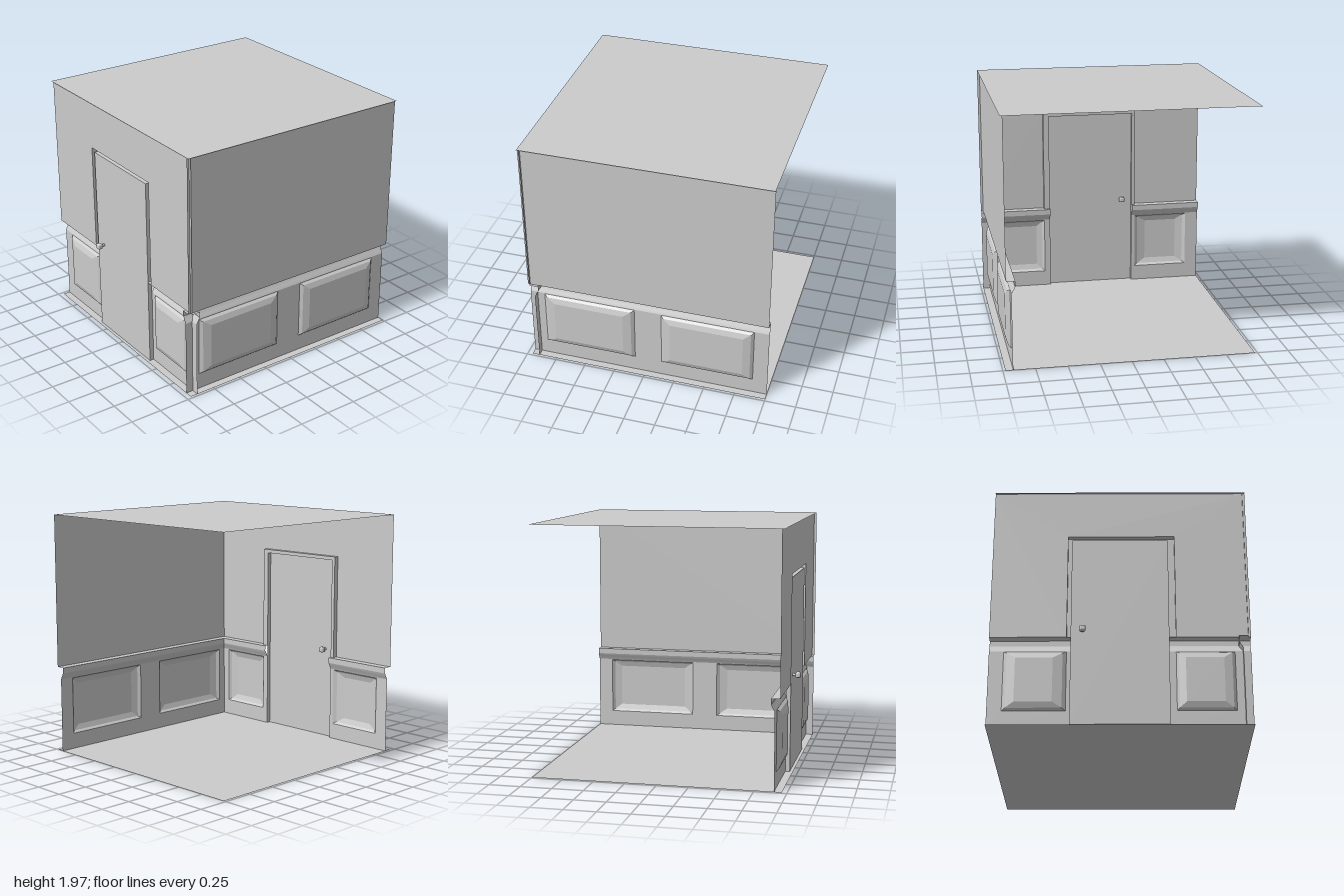
import * as THREE from 'three';
import { RoundedBoxGeometry } from 'three/addons/geometries/RoundedBoxGeometry.js';

const HALF = 0.98, HEIGHT = 1.965, RAIL_Y = 0.71;
// Depths of the sheet surfaces, measured outward from the room centre
const WALL = 0.96, DOOR = 0.955, FRAME = 0.92, RAIL = 0.89;
const DOOR_X = 0.37, DOOR_TOP = 1.545;

const flat = new THREE.MeshStandardMaterial({ color: 0xcccccc, flatShading: true, side: THREE.DoubleSide });
const smooth = new THREE.MeshStandardMaterial({ color: 0xcccccc, side: THREE.DoubleSide });

function mesh(name, geometry, material = flat) {
  const m = new THREE.Mesh(geometry, material);
  m.name = name;
  return m;
}

// Skin a list of equally long rows of [x, y, z] points
function loft(rows) {
  const n = rows[0].length, index = [];
  for (let r = 0; r < rows.length - 1; r++) {
    for (let i = 0; i < n - 1; i++) {
      const a = r * n + i, b = a + n;
      index.push(a, a + 1, b, a + 1, b + 1, b);
    }
  }
  const g = new THREE.BufferGeometry();
  g.setAttribute('position', new THREE.Float32BufferAttribute(rows.flat(2), 3));
  g.setIndex(index);
  g.computeVertexNormals();
  return g;
}

const corners = (x0, x1, y0, y1) => [[x0, y0], [x1, y0], [x1, y1], [x0, y1]];
const toShape = (pts) => new THREE.Shape(pts.map(([x, y]) => new THREE.Vector2(x, y)));

function sheet(name, shape, z) {
  return mesh(name, new THREE.ShapeGeometry(shape).translate(0, 0, z));
}

// Wainscot from x0 to x1; each panel is [outer x0, outer x1, field x0, field x1]
function wainscot(x0, x1, panels) {
  const g = new THREE.Group();
  g.name = 'wainscot';
  const frame = toShape(corners(x0, x1, 0, 0.61));
  for (const [a, b, c, d] of panels) {
    const outer = corners(a, b, 0.13, 0.605), field = corners(c, d, 0.19, 0.545);
    frame.holes.push(new THREE.Path(outer.map(([x, y]) => new THREE.Vector2(x, y))));
    // Steep outer step, then a shallower bevel up to the field
    const ring = (t, z) => {
      const pts = outer.map(([x, y], i) => [x + (field[i][0] - x) * t, y + (field[i][1] - y) * t, z]);
      return [...pts, pts[0]];
    };
    g.add(mesh('panelBevel', loft([ring(0, FRAME), ring(0.28, 0.94), ring(1, 0.955)])));
    g.add(sheet('panelField', toShape(field), 0.955));
  }
  g.add(sheet('wainscotFrame', frame, FRAME));
  // Curved moulding under the chair rail
  const moulding = [[0.665, 0.893], [0.645, 0.901], [0.628, 0.912], [0.61, FRAME]];
  g.add(mesh('moulding', loft(moulding.map(([y, z]) => [[x0, y, z], [x1, y, z]])), smooth));
  const rail = [[RAIL_Y, WALL], [RAIL_Y, RAIL], [0.665, RAIL], [0.665, 0.893]];
  g.add(mesh('chairRail', loft(rail.map(([y, z]) => [[x0, y, z], [x1, y, z]]))));
  return g;
}

// Inverted-U outline around the doorway
const arch = (x0, x1, y0, top, z) => [[x0, y0, z], [x0, top, z], [x1, top, z], [x1, y0, z]];

function doorway() {
  const g = new THREE.Group();
  g.name = 'doorway';
  g.add(sheet('door', toShape(corners(-DOOR_X, DOOR_X, 0, DOOR_TOP)), DOOR));
  g.add(mesh('doorEdge', loft([
    arch(-DOOR_X, DOOR_X, 0, DOOR_TOP, DOOR),
    arch(-DOOR_X, DOOR_X, 0, DOOR_TOP, FRAME),
  ])));
  g.add(mesh('doorTrim', loft([
    arch(-0.4, 0.42, RAIL_Y, 1.575, WALL),
    arch(-0.4, 0.42, RAIL_Y, 1.575, FRAME),
    arch(-DOOR_X, DOOR_X, RAIL_Y, DOOR_TOP, FRAME),
  ])));
  // Knobs on both sides, joined by a spindle
  for (const side of [-1, 1]) {
    const knob = mesh('knob', new RoundedBoxGeometry(0.045, 0.045, 0.04, 3, 0.012), smooth);
    knob.position.set(-0.28, 0.765, DOOR + side * 0.045);
    if (side > 0) knob.position.z = 1.0;
    g.add(knob);
  }
  const spindle = mesh('knobSpindle', new THREE.CylinderGeometry(0.011, 0.011, 0.09, 12).rotateX(Math.PI / 2), smooth);
  spindle.position.set(-0.28, 0.765, DOOR);
  g.add(spindle);
  return g;
}

export function createModel() {
  const room = new THREE.Group();
  room.name = 'room';

  for (const [name, y] of [['floor', 0], ['ceiling', HEIGHT]]) {
    const slab = mesh(name, new THREE.PlaneGeometry(2 * HALF, 2 * HALF).rotateX(-Math.PI / 2));
    slab.position.y = y;
    room.add(slab);
  }

  // Front wall with the doorway
  const front = new THREE.Group();
  front.name = 'frontWall';
  front.add(sheet('upperWall', toShape([
    [-HALF, RAIL_Y], [-0.4, RAIL_Y], [-0.4, 1.575], [0.42, 1.575],
    [0.42, RAIL_Y], [HALF, RAIL_Y], [HALF, HEIGHT], [-HALF, HEIGHT],
  ]), WALL));
  front.add(wainscot(-HALF, -DOOR_X, [[-0.87, -0.4, -0.78, -0.5]]));
  front.add(wainscot(DOOR_X, HALF, [[0.42, 0.86, 0.49, 0.775]]));
  front.add(doorway());
  room.add(front);

  // Side wall, built facing front and turned to +x
  const sideWall = new THREE.Group();
  sideWall.name = 'sideWall';
  sideWall.add(sheet('upperWall', toShape(corners(-HALF, HALF, RAIL_Y, HEIGHT)), WALL));
  sideWall.add(wainscot(-HALF, HALF, [[-0.86, -0.11, -0.77, -0.2], [0.11, 0.86, 0.19, 0.78]]));
  sideWall.rotation.y = Math.PI / 2;
  room.add(sideWall);

  room.position.z = -0.02;
  const model = new THREE.Group();
  model.name = 'roomCorner';
  model.add(room);
  return model;
}
